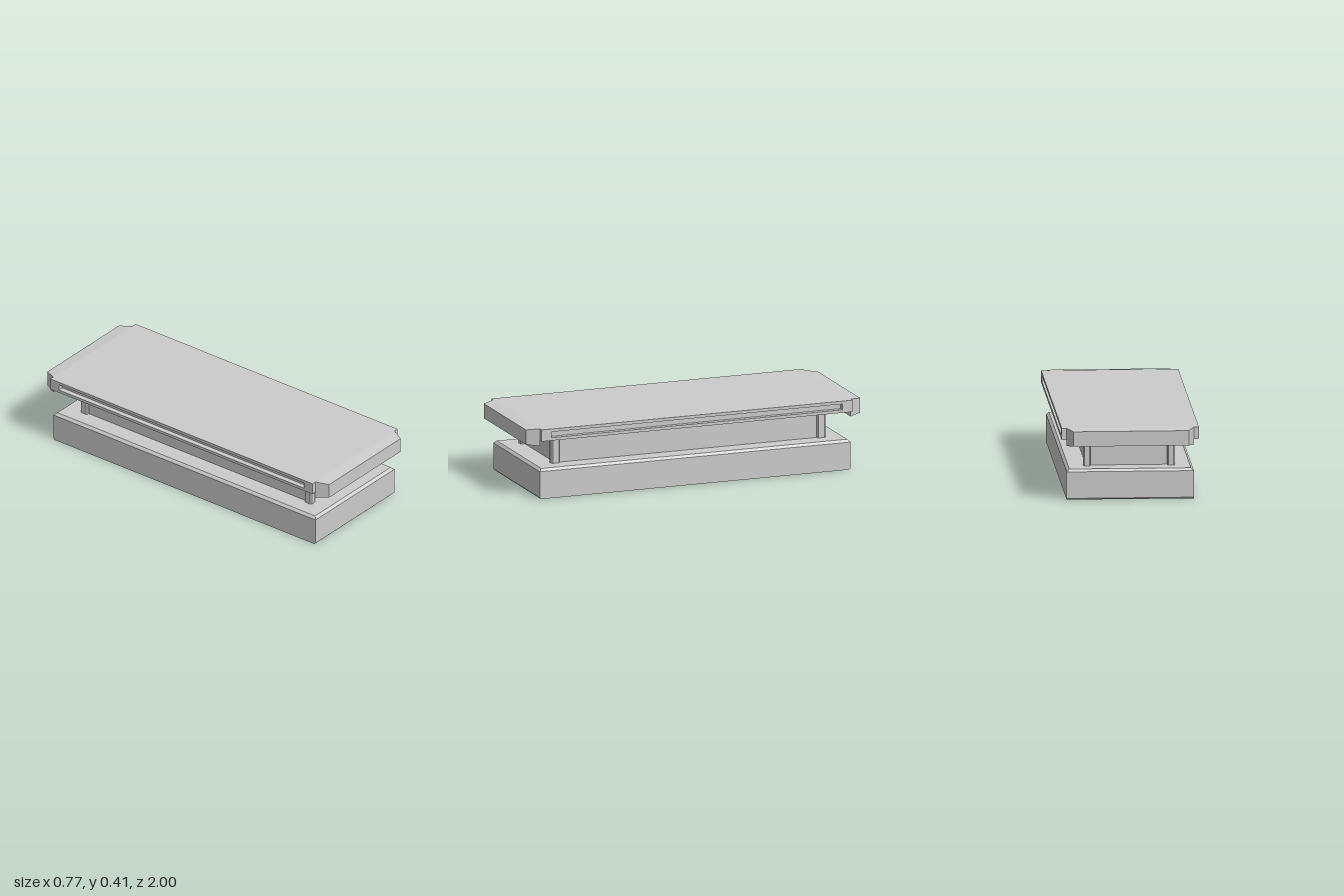
import * as THREE from 'three';

const material = new THREE.MeshStandardMaterial({ color: 0xcccccc, flatShading: true });

function add(parent, name, geometry, x = 0, y = 0, z = 0) {
  const mesh = new THREE.Mesh(geometry, material);
  mesh.name = name;
  mesh.position.set(x, y, z);
  parent.add(mesh);
  return mesh;
}

// Box between two heights
function slab(hx, y0, y1, hz) {
  return new THREE.BoxGeometry(2 * hx, y1 - y0, 2 * hz).translate(0, (y0 + y1) / 2, 0);
}

// Rectangular rings [y, halfX, halfZ] joined from bottom to top, with end faces
function rectLoft(levels) {
  const pos = [], index = [];
  for (const [y, x, z] of levels) pos.push(-x, y, z, x, y, z, x, y, -z, -x, y, -z);
  for (let l = 0; l < levels.length - 1; l++) {
    for (let i = 0; i < 4; i++) {
      const a = l * 4 + i, b = l * 4 + (i + 1) % 4;
      index.push(a, b, b + 4, a, b + 4, a + 4);
    }
  }
  const t = (levels.length - 1) * 4;
  index.push(0, 2, 1, 0, 3, 2, t, t + 1, t + 2, t, t + 2, t + 3);
  const g = new THREE.BufferGeometry();
  g.setAttribute('position', new THREE.Float32BufferAttribute(pos, 3));
  g.setIndex(index);
  const flat = g.toNonIndexed();
  flat.computeVertexNormals();
  return flat;
}

// Upright post with chamfered corners
function postGeometry(hx, hz, c, y0, y1) {
  const s = new THREE.Shape([
    [hx, -hz + c], [hx, hz - c], [hx - c, hz], [-hx + c, hz],
    [-hx, hz - c], [-hx, -hz + c], [-hx + c, -hz], [hx - c, -hz],
  ].map(([x, y]) => new THREE.Vector2(x, y)));
  return new THREE.ExtrudeGeometry(s, { depth: y1 - y0, bevelEnabled: false })
    .rotateX(-Math.PI / 2).translate(0, y0, 0);
}

// Side rail: rectangle with a long slot cut through it, facing +x
function railGeometry(thickness) {
  const s = new THREE.Shape();
  s.moveTo(-0.93, 0.338).lineTo(0.93, 0.338).lineTo(0.93, 0.405).lineTo(-0.93, 0.405).closePath();
  const slot = new THREE.Path();
  slot.moveTo(-0.87, 0.355).lineTo(-0.87, 0.388).lineTo(0.87, 0.388).lineTo(0.87, 0.355).closePath();
  s.holes.push(slot);
  return new THREE.ExtrudeGeometry(s, { depth: thickness, bevelEnabled: false })
    .rotateY(Math.PI / 2);
}

// End cap: block whose outer face is drawn in on all sides
function capGeometry() {
  const g = new THREE.BoxGeometry(0.712, 0.1, 0.07);
  const p = g.attributes.position;
  for (let i = 0; i < p.count; i++) {
    if (p.getZ(i) > 0) {
      p.setX(i, Math.sign(p.getX(i)) * 0.322);
      p.setY(i, Math.sign(p.getY(i)) * 0.042);
    }
  }
  g.computeVertexNormals();
  return g;
}

export function createModel() {
  const model = new THREE.Group();
  model.name = 'platform';

  // Plinth with a bevelled top and a thin relieved bottom edge
  add(model, 'base', rectLoft([
    [0, 0.355, 0.922], [0.008, 0.355, 0.93], [0.158, 0.355, 0.93], [0.172, 0.34, 0.915],
  ]));

  // Recessed core with corner posts
  add(model, 'core', slab(0.24, 0.17, 0.34, 0.795));
  for (const x of [-1, 1]) {
    for (const z of [-1, 1]) {
      add(model, 'cornerPost', postGeometry(0.021, 0.025, 0.007, 0.17, 0.34), x * 0.235, 0, z * 0.795);
    }
  }

  // Top slab with slotted side rails
  const top = new THREE.Group();
  top.name = 'top';
  model.add(top);
  add(top, 'topSlab', slab(0.353, 0.338, 0.405, 0.93));
  for (const side of [0, 1]) {
    const rail = add(top, 'sideRail', railGeometry(0.03), side ? -0.353 : 0.353);
    rail.rotation.y = side * Math.PI;
  }

  // Tapered end caps hanging below the slab
  for (const side of [0, 1]) {
    const cap = add(top, 'endCap', capGeometry(), 0, 0.355, side ? -0.965 : 0.965);
    cap.rotation.y = side * Math.PI;
  }
  return model;
}
